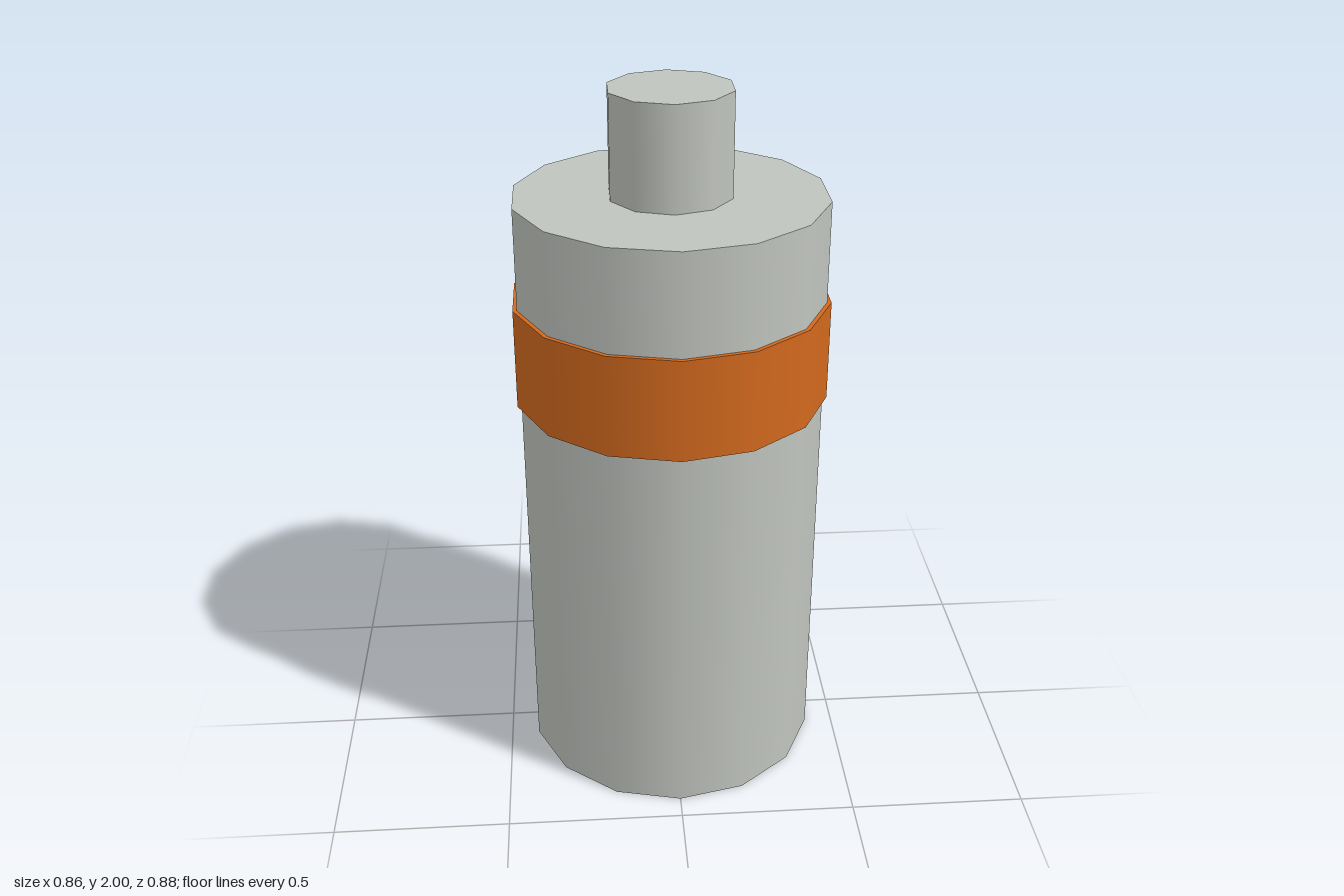
import * as THREE from 'three';

export function createModel() {
  const model = new THREE.Group();

  const grey = new THREE.MeshStandardMaterial({ color: 0xc0c4be });
  grey.name = 'light grey';
  const orange = new THREE.MeshStandardMaterial({ color: 0xd2691e });
  orange.name = 'orange';

  // Upright smooth cylinder spanning two heights
  const addCylinder = (name, radius, bottom, top, sides, material) => {
    const geometry = new THREE.CylinderGeometry(radius, radius, top - bottom, sides);
    const mesh = new THREE.Mesh(geometry, material);
    mesh.name = name;
    mesh.position.y = (bottom + top) / 2;
    model.add(mesh);
  };

  // Main canister, the band around it and the stub on top
  addCylinder('body', 0.429, 0, 1.714, 14, grey);
  addCylinder('band', 0.441, 1.143, 1.429, 14, orange);
  addCylinder('topStub', 0.171, 1.714, 2, 10, grey);

  return model;
}
